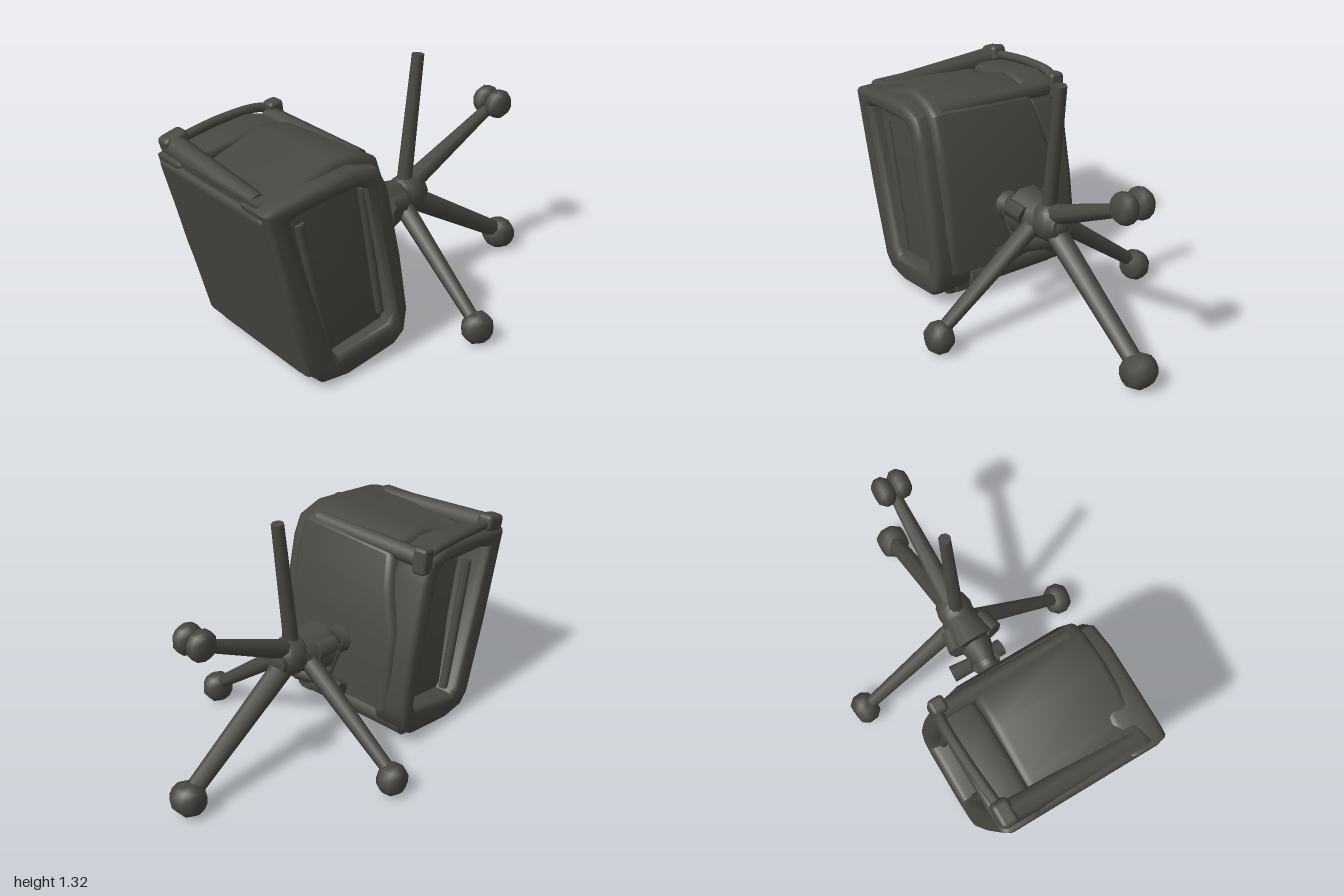
import * as THREE from 'three';
import { RoundedBoxGeometry } from 'three/addons/geometries/RoundedBoxGeometry.js';
import { toCreasedNormals } from 'three/addons/utils/BufferGeometryUtils.js';

export function createModel() {
  const group = new THREE.Group();
  const mat = new THREE.MeshStandardMaterial({ color: 0x484942 });
  mat.name = 'dark olive grey';
  const V = (x, y, z) => new THREE.Vector3(x, y, z);
  const points2 = (list) => list.map(([x, y]) => new THREE.Vector2(x, y));

  function add(name, geometry, x = 0, y = 0, z = 0) {
    const mesh = new THREE.Mesh(geometry, mat);
    mesh.name = name;
    mesh.position.set(x, y, z);
    group.add(mesh);
    return mesh;
  }

  // Tapered rod between two points
  function rod(name, a, b, ra, rb = ra, sides = 8) {
    const dir = b.clone().sub(a);
    const mesh = add(name, new THREE.CylinderGeometry(rb, ra, dir.length(), sides));
    mesh.position.copy(a).add(b).multiplyScalar(0.5);
    mesh.quaternion.setFromUnitVectors(V(0, 1, 0), dir.normalize());
    return mesh;
  }

  // Tipped seat body: side profile extruded across the width
  const profile = points2([
    [-0.93, 1.0], [-0.83, 0.5], [-0.72, 0.1], [-0.66, 0.06], [-0.5, 0.05],
    [-0.27, 0.09], [-0.25, 0.2], [-0.2, 0.23], [-0.21, 0.45], [-0.24, 0.65],
    [-0.27, 0.85], [-0.33, 1.03], [-0.4, 1.07], [-0.55, 1.085], [-0.8, 1.0],
  ]);
  const bodyGeo = new THREE.ExtrudeGeometry(new THREE.Shape(profile), {
    depth: 0.63, bevelThickness: 0.04, bevelSize: 0.04, bevelSegments: 3,
  });
  bodyGeo.translate(0, 0, -0.3);
  // The back face leans inwards at the top, leaving a gap under the rail
  const p = bodyGeo.attributes.position;
  for (let i = 0; i < p.count; i++) {
    const lean = THREE.MathUtils.smoothstep(p.getY(i), 0.6, 1.05);
    if (p.getZ(i) < 0) {
      p.setZ(i, p.getZ(i) + 0.1 * lean);
      if (p.getX(i) > -0.85) p.setY(i, p.getY(i) - 0.03 * lean);
    }
  }
  add('seatBody', toCreasedNormals(bodyGeo, 0.7));

  // Deep padded frames around a recess on both sides
  const frame = new THREE.Shape(points2([
    [-0.95, 0.99], [-0.835, 0.5], [-0.725, 0.11], [-0.68, 0.065], [-0.55, 0.05],
    [-0.27, 0.095], [-0.215, 0.14], [-0.2, 0.25], [-0.245, 0.55], [-0.325, 0.93],
    [-0.37, 1.02], [-0.5, 1.055], [-0.7, 1.03], [-0.92, 1.0],
  ]));
  frame.holes.push(new THREE.Path(points2([
    [-0.88, 0.96], [-0.8, 0.99], [-0.46, 1.02], [-0.39, 0.98], [-0.24, 0.25],
    [-0.27, 0.18], [-0.61, 0.12], [-0.66, 0.16],
  ])));
  const frameGeo = new THREE.ExtrudeGeometry(frame, {
    depth: 0.13, bevelThickness: 0.04, bevelSize: 0.03, bevelSegments: 3,
  });
  frameGeo.translate(0, 0, -0.065);
  const frameSmooth = toCreasedNormals(frameGeo, 0.8);
  for (const s of [1, -1]) {
    add('sideFrame', frameSmooth, 0, 0, s * 0.34);
    rod('sideStripInner', V(-0.41, 0.95, s * 0.375), V(-0.3, 0.25, s * 0.375), 0.022);
    rod('sideStripOuter', V(-0.76, 0.88, s * 0.37), V(-0.62, 0.16, s * 0.37), 0.025);
  }

  // Flat outer panel and the rims along the open end
  const panel = add('outerPanel', new RoundedBoxGeometry(0.07, 0.94, 0.84, 2, 0.03), -0.845, 0.54, 0);
  panel.rotation.z = 0.245;
  rod('outerRim', V(-0.92, 1.0, 0.3), V(-0.91, 1.04, -0.4), 0.05, 0.06);
  rod('innerRim', V(-0.355, 1.05, 0.3), V(-0.355, 1.04, -0.4), 0.045, 0.05);
  const rail = new THREE.CatmullRomCurve3([
    V(-0.88, 1.06, -0.4), V(-0.62, 1.09, -0.42), V(-0.4, 1.09, -0.42), V(-0.32, 1.06, -0.4),
  ]);
  add('backRail', new THREE.TubeGeometry(rail, 20, 0.025, 8));
  add('rimCorner', new RoundedBoxGeometry(0.13, 0.09, 0.09, 2, 0.025), -0.905, 1.06, -0.395).rotation.z = 0.25;
  add('rimCorner', new RoundedBoxGeometry(0.08, 0.14, 0.08, 2, 0.02), -0.33, 1.05, -0.4).rotation.z = 0.1;

  // Rolled lip under the lower edge
  rod('lowerRoll', V(-0.255, 0.13, 0.22), V(-0.255, 0.13, -0.4), 0.07, 0.07, 12);
  add('lowerCatch', new THREE.BoxGeometry(0.08, 0.08, 0.07), -0.25, 0.11, 0.27);

  // Swivel column
  rod('column', V(-0.23, 0.51, 0), V(0.05, 0.57, 0), 0.05, 0.06, 10);
  rod('columnCollar', V(-0.2, 0.515, 0), V(-0.13, 0.53, 0), 0.085, 0.06, 10);
  rod('columnSleeve', V(-0.1, 0.54, 0), V(0.0, 0.56, 0), 0.055, 0.09, 10);

  // Tilt lever with a double cross grip
  rod('lever', V(-0.12, 0.53, 0), V(-0.03, 0.34, 0), 0.05, 0.035).scale.z = 1.6;
  for (const s of [1, -1]) {
    rod('leverGrip', V(-0.03, 0.345, 0), V(-0.02, 0.33, s * 0.15), 0.04, 0.048);
  }

  // Hub: a cone flared towards the column, rounded where the legs meet
  rod('hub', V(0.0, 0.56, 0), V(0.3, 0.59, 0), 0.135, 0.06, 10);
  add('hubDome', new THREE.SphereGeometry(1, 12, 8), 0.2, 0.585, 0).scale.set(0.115, 0.105, 0.095);
  for (const s of [1, -1]) {
    rod('hubLug', V(-0.01, 0.615, s * 0.11), V(0.1, 0.6, s * 0.085), 0.045, 0.05, 6);
  }

  // Five legs, four with casters
  const legs = [
    [V(0.18, 0.6, 0), V(0.27, 1.33, 0), 0.04, 0.031],
    [V(0.2, 0.62, 0), V(0.81, 0.915, 0), 0.055, 0.03],
    [V(0.2, 0.57, 0), V(0.91, 0.12, 0), 0.06, 0.045],
    [V(0.13, 0.56, 0.05), V(0.125, 0.12, 0.61), 0.05, 0.034],
    [V(0.13, 0.56, -0.05), V(0.125, 0.12, -0.61), 0.05, 0.034],
  ];
  for (const [a, b, ra, rb] of legs) rod('leg', a, b, ra, rb, 8);

  // Barrel wheels with their axles across the width
  function caster(x, y, z, r, h, turn = 0) {
    const wheel = points2([[0, -h], [0.68 * r, -h], [r, -0.4 * h], [r, 0.4 * h], [0.68 * r, h], [0, h]]);
    add('caster', new THREE.LatheGeometry(wheel, 10), x, y, z).rotation.set(Math.PI / 2, 0, turn);
  }
  for (const s of [1, -1]) {
    caster(0.815, 0.935, s * 0.045, 0.077, 0.046);
    caster(0.13, 0.095, s * 0.62, 0.083, 0.06, s * 0.12);
  }
  caster(0.915, 0.105, 0, 0.086, 0.074);

  return group;
}
